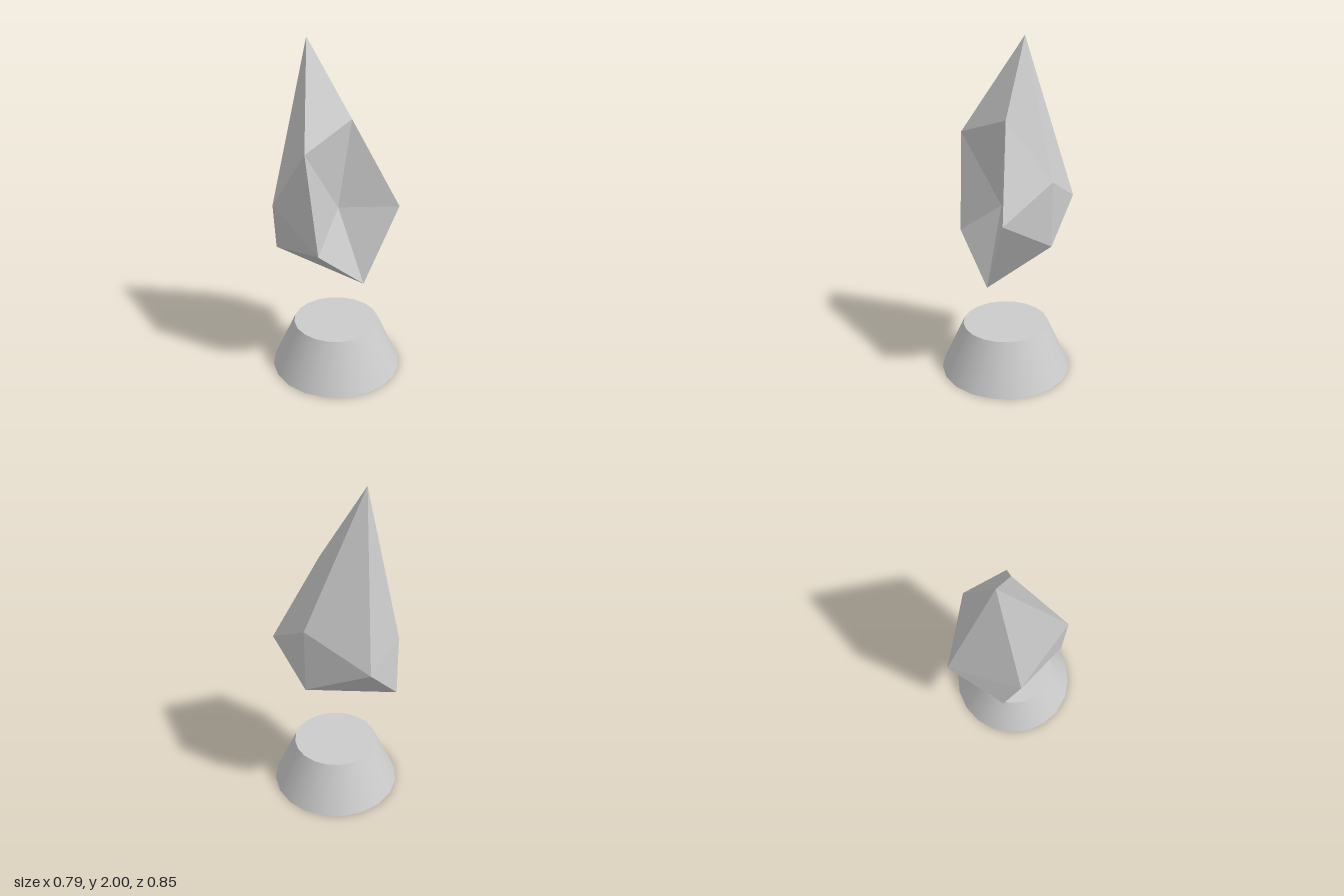
import * as THREE from 'three';

// Crystal corners: tip, upper ring, lower ring and bottom point.
// Both rings run counter-clockwise seen from above; lower[i] sits between upper[i] and upper[i + 1].
const tip = [-0.1, 2, -0.14];
const upper = [[-0.265, 1.45, 0.19], [0.08, 1.57, 0.06], [0.265, 1.245, -0.14], [0, 1.055, -0.423], [-0.33, 1.055, -0.14]];
const lower = [[0, 1.055, 0.052], [0.327, 1.055, 0.19], [0.265, 0.865, -0.14], [-0.28, 0.74, -0.23], [-0.21, 0.86, 0.23]];
const point = [0.1, 0.6, 0.19];

function crystalGeometry() {
  const positions = [];
  const triangle = (a, b, c) => positions.push(...a, ...b, ...c);
  for (let i = 0; i < 5; i++) {
    const j = (i + 1) % 5;
    triangle(tip, upper[i], upper[j]);
    triangle(upper[i], lower[i], upper[j]);
    triangle(upper[j], lower[i], lower[j]);
    triangle(lower[i], point, lower[j]);
  }
  const geometry = new THREE.BufferGeometry();
  geometry.setAttribute('position', new THREE.Float32BufferAttribute(positions, 3));
  geometry.computeVertexNormals();
  return geometry;
}

export function createModel() {
  const model = new THREE.Group();
  model.name = 'floatingCrystal';

  // Faceted, irregular crystal hovering over the base
  const crystal = new THREE.Mesh(
    crystalGeometry(),
    new THREE.MeshStandardMaterial({ color: 0xcccccc, flatShading: true })
  );
  crystal.name = 'crystal';
  model.add(crystal);

  // Tapered round pedestal
  const height = 0.297;
  const base = new THREE.Mesh(
    new THREE.CylinderGeometry(0.26, 0.396, height, 20),
    new THREE.MeshStandardMaterial({ color: 0xcccccc })
  );
  base.name = 'base';
  base.position.set(0, height / 2, 0.027);
  model.add(base);

  return model;
}
